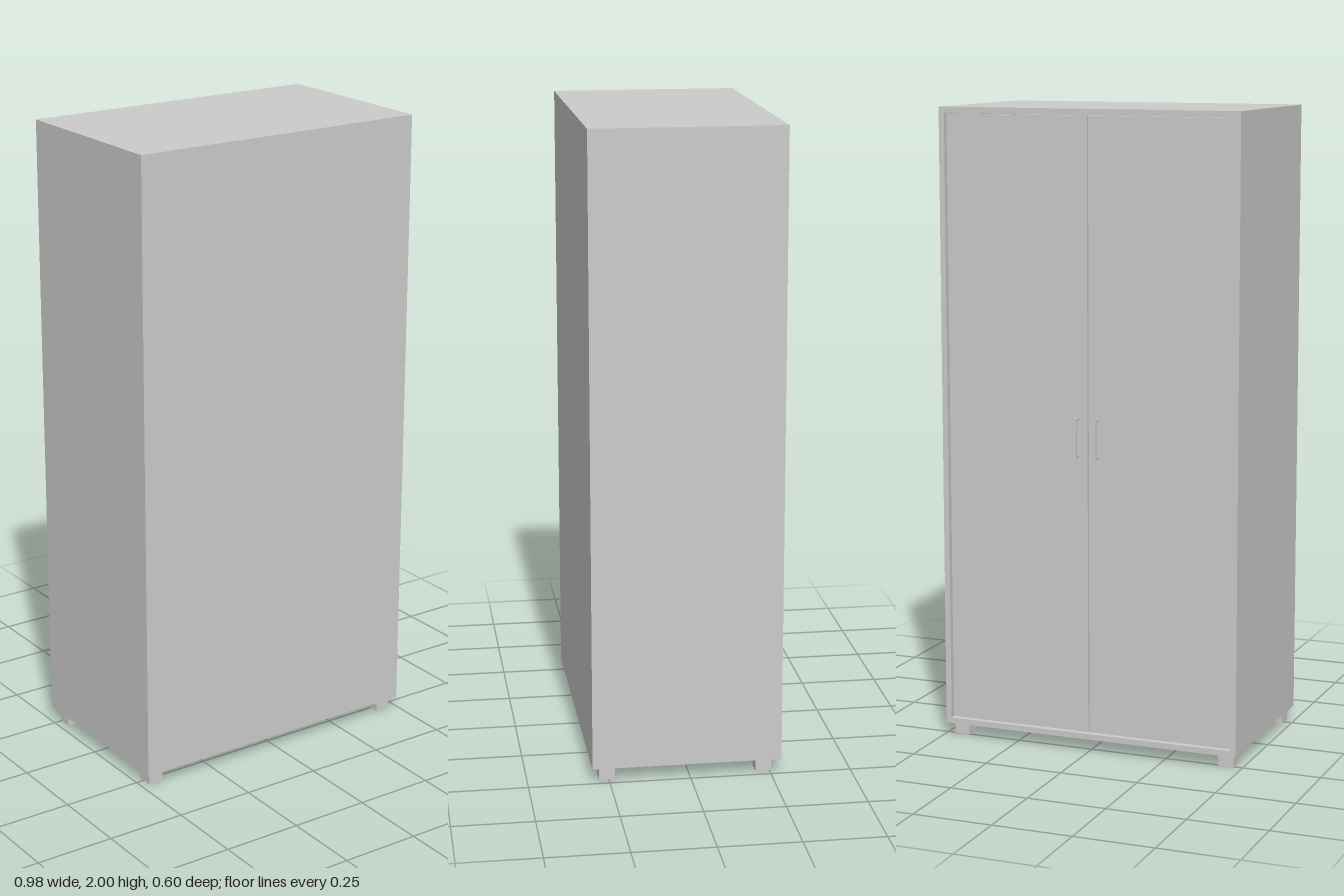
import * as THREE from 'three';

const grey = new THREE.MeshStandardMaterial({ color: 0xcccccc, flatShading: true });

// Box given by its lower and upper corners
function box(name, [x0, y0, z0], [x1, y1, z1]) {
  const mesh = new THREE.Mesh(new THREE.BoxGeometry(x1 - x0, y1 - y0, z1 - z0), grey);
  mesh.position.set((x0 + x1) / 2, (y0 + y1) / 2, (z0 + z1) / 2);
  mesh.name = name;
  return mesh;
}

export function createModel() {
  const model = new THREE.Group();
  model.name = 'wardrobe';

  const W = 0.489, bottom = 0.042, top = 2, zDoor = -0.285, zBack = 0.302, t = 0.018;
  const inner = W - t;

  // Carcass: top, base and the plain panel opposite the doors
  model.add(
    box('topPanel', [-W, top - t, zDoor], [W, top, zBack]),
    box('basePanel', [-W, bottom, zDoor], [W, bottom + t, zBack]),
    box('backPanel', [-inner, bottom + t, zBack - t], [inner, top - t, zBack])
  );

  for (const s of [1, -1]) {
    const side = s > 0 ? 'left' : 'right';
    // Box mirrored to the chosen side
    const sideBox = (name, a, b) => s > 0
      ? box(name, a, b)
      : box(name, [-b[0], a[1], a[2]], [-a[0], b[1], b[2]]);

    model.add(sideBox(side + 'SidePanel', [inner, bottom + t, zDoor], [W, top - t, zBack]));

    // Door set slightly back inside the frame, with narrow gaps
    const zFace = zDoor + 0.011;
    model.add(sideBox(side + 'Door', [0.002, bottom + t + 0.003, zFace],
      [inner - 0.003, top - t - 0.003, zFace + t]));

    // Bar handle on two short posts
    const handle = new THREE.Group();
    handle.name = side + 'Handle';
    const x0 = 0.029, x1 = 0.036, y0 = 0.937, y1 = 1.06, b = 0.007, zOut = -0.302;
    handle.add(
      sideBox('handleBar', [x0, y0, zOut], [x1, y1, zOut + b]),
      sideBox('lowerPost', [x0, y0, zOut + b], [x1, y0 + b, zFace]),
      sideBox('upperPost', [x0, y1 - b, zOut + b], [x1, y1, zFace])
    );
    model.add(handle);

    // Square feet
    for (const z of [-0.231, 0.256]) {
      model.add(sideBox(side + (z < 0 ? 'DoorSideFoot' : 'BackFoot'),
        [0.423, 0, z - 0.025], [0.473, bottom, z + 0.025]));
    }
  }
  return model;
}
